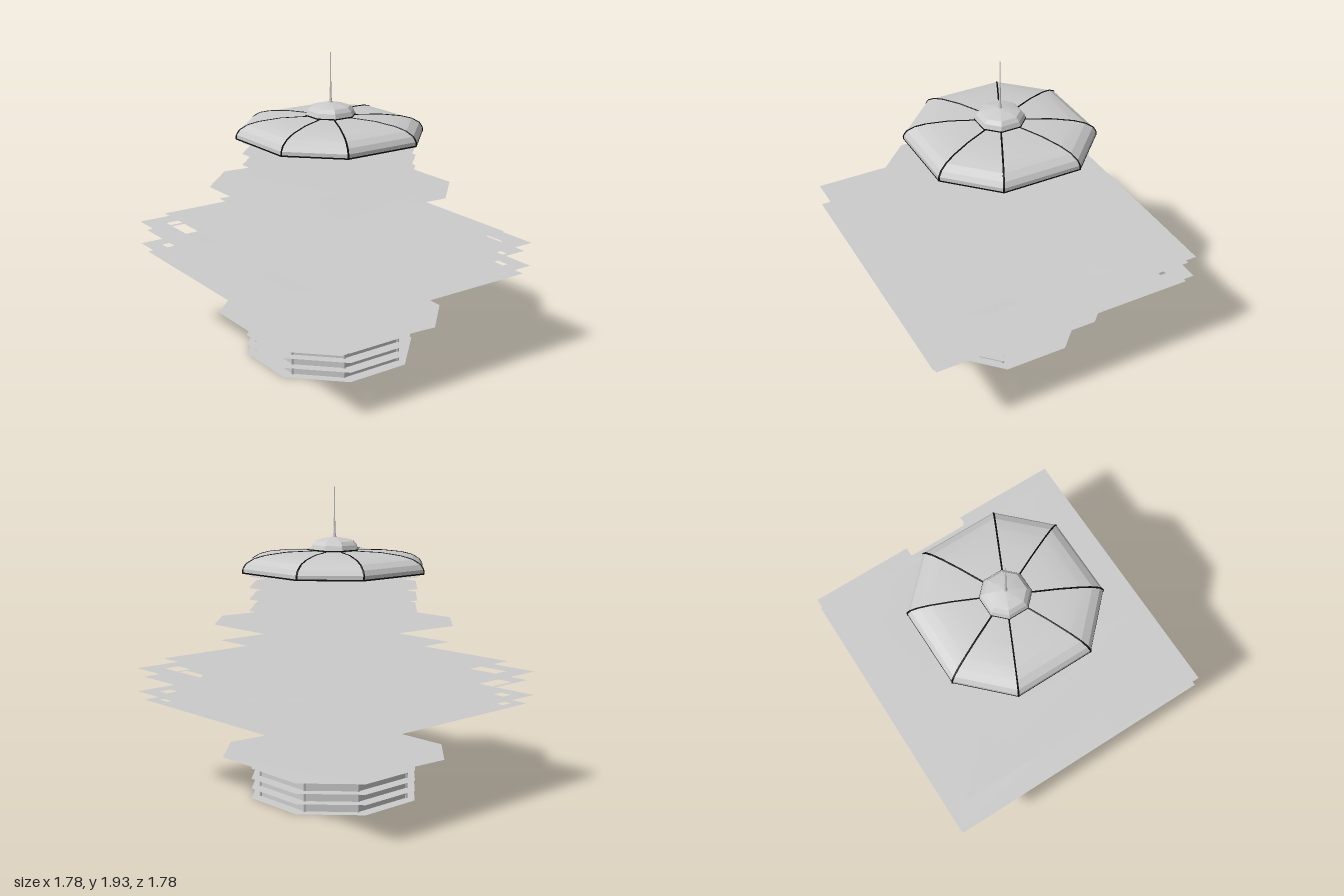
import * as THREE from 'three';
import { toCreasedNormals } from 'three/addons/utils/BufferGeometryUtils.js';

const grey = new THREE.MeshStandardMaterial({ color: 0xcccccc, side: THREE.DoubleSide });
const black = new THREE.MeshStandardMaterial({ color: 0x0c0c0c, side: THREE.DoubleSide });

// Outlines as [x, z] loops
const square = (h) => [[-h, -h], [h, -h], [h, h], [-h, h]];
const octagon = (a, b) => [[-b, -a], [b, -a], [a, -b], [a, b], [b, a], [-b, a], [-a, b], [-a, -b]];
const pinched = (a, b, p) => [[-b, -a], [b, -a], [a, -b], [p, 0], [a, b], [b, a], [-b, a], [-a, b], [-p, 0], [-a, -b]];
const toPath = (pts, C = THREE.Shape) => new C(pts.map(([x, z]) => new THREE.Vector2(x, -z)));

export function createModel() {
  const model = new THREE.Group();

  const add = (name, geometry, material = grey, parent = model) => {
    const mesh = new THREE.Mesh(geometry, material);
    mesh.name = name;
    parent.add(mesh);
    return mesh;
  };

  // Flat horizontal sheet; opening [x0, x1, z0, z1] is mirrored into all four quarters
  const sheet = (name, pts, y, opening) => {
    const shape = toPath(pts);
    if (opening) {
      const [x0, x1, z0, z1] = opening;
      for (const sx of [-1, 1]) for (const sz of [-1, 1]) {
        const hole = [[x0, z0], [x1, z0], [x1, z1], [x0, z1]].map(([x, z]) => [x * sx, z * sz]);
        shape.holes.push(toPath(hole, THREE.Path));
      }
    }
    const g = new THREE.ShapeGeometry(shape);
    g.rotateX(-Math.PI / 2);
    add(name, g).position.y = y;
  };

  const triangles = (name, v) => {
    const g = new THREE.BufferGeometry();
    g.setAttribute('position', new THREE.Float32BufferAttribute(v, 3));
    g.computeVertexNormals();
    add(name, g);
  };

  // Gently folded ceiling: creases along both axes, corners at another height
  const foldedSheet = (name, a, b, p, yAxis, yCorner) => {
    const quarter = [[p, 0], [a, b], [b, a]];
    const rim = [0, 1, 2, 3].flatMap((k) => quarter.map(([x, z]) =>
      [[x, z], [-z, x], [-x, -z], [z, -x]][k]));
    const y = (i) => (i % 3 === 0 ? yAxis : yCorner);
    const v = [];
    rim.forEach(([x, z], i) => {
      const j = (i + 1) % rim.length;
      v.push(0, yAxis, 0, rim[j][0], y(j), rim[j][1], x, y(i), z);
    });
    triangles(name, v);
  };

  // Upright wall band around an outline
  const wallBand = (name, pts, y0, y1) => {
    const v = [];
    pts.forEach(([x, z], i) => {
      const [u, w] = pts[(i + 1) % pts.length];
      v.push(x, y0, z, x, y1, z, u, y1, w, x, y0, z, u, y1, w, u, y0, w);
    });
    triangles(name, v);
  };

  // Base: stacked louvre slabs with recessed wall bands and corner posts
  const slab = octagon(0.51, 0.213);
  const wall = octagon(0.44, 0.21);
  const post = new THREE.CylinderGeometry(0.01, 0.01, 0.051, 4);
  sheet('baseFloor', slab, 0, [0.16, 0.22, 0.16, 0.22]);
  for (let i = 0; i < 4; i++) {
    const y = i * 0.065;
    wallBand('baseWall', wall, y + 0.002, y + 0.053);
    for (const [x, z] of wall) add('basePost', post).position.set(x, y + 0.0275, z);
    if (i < 3) sheet('baseSlab', slab, y + 0.063);
  }
  sheet('baseCanopy', pinched(0.62, 0.36, 0.59), 0.257);

  // Lower storey: broad square deck over a folded ceiling
  const cornerHole = [0.71, 0.79, 0.71, 0.79];
  foldedSheet('lowerFoldedCeiling', 0.645, 0.39, 0.61, 0.585, 0.573);
  sheet('lowerDeckUnderside', square(0.86), 0.58, cornerHole);
  sheet('lowerDeckTop', square(0.89), 0.635, cornerHole);

  // Upper storey: deck with stair notches and long openings front and back
  const n = 0.21, d = 0.74;
  const notched = (h) => [[-h, -h], [-n, -h], [-n, -d], [n, -d], [n, -h], [h, -h],
    [h, h], [n, h], [n, d], [-n, d], [-n, h], [-h, h]];
  foldedSheet('upperFoldedCeiling', 0.76, 0.45, 0.72, 0.711, 0.723);
  sheet('upperDeckUnderside', notched(0.86), 0.73, [0.25, 0.83, 0.55, 0.74]);
  sheet('upperDeckTop', notched(0.89), 0.785, [0.23, 0.765, 0.66, 0.765]);
  sheet('deckRoof', square(0.77), 0.85);

  // Upper tower: terrace, canopy and louvre sheets
  sheet('terrace', square(0.51), 0.97);
  sheet('towerCanopy', pinched(0.645, 0.39, 0.61), 1.1);
  for (let i = 0; i < 4; i++) sheet('towerLouvre', slab, 1.19 + i * 0.07);

  // Eight-sided turned form with slightly widened main faces
  const eightSided = (profile, ratio) => {
    const k = Math.cos(Math.PI / 8);
    const pts = profile.map(([r, y]) => new THREE.Vector2(r / k, y));
    const g = new THREE.LatheGeometry(pts, 8, Math.PI / 8);
    const p = g.attributes.position;
    const f = ratio / Math.tan(Math.PI / 8);
    for (let i = 0; i < p.count; i++) {
      if (Math.abs(p.getX(i)) < Math.abs(p.getZ(i))) p.setX(i, p.getX(i) * f);
      else p.setZ(i, p.getZ(i) * f);
    }
    return toCreasedNormals(g, 0.2);
  };

  // Dome roof
  const domeProfile = [[0.526, 1.42], [0.526, 1.445], [0.508, 1.475], [0.465, 1.503],
    [0.4, 1.522], [0.28, 1.538], [0.13, 1.541]];
  const domeRatio = 0.475;
  add('domeRoof', eightSided(domeProfile, domeRatio));
  add('domeRim', eightSided([[0.45, 1.415], [0.528, 1.415], [0.528, 1.424]], domeRatio), black);

  // Ribs along the dome corners
  const ribs = new THREE.Group();
  ribs.name = 'domeRibs';
  model.add(ribs);
  for (const sx of [-1, 1]) for (const sz of [-1, 1]) for (const swap of [false, true]) {
    const path = new THREE.CurvePath();
    const pts = domeProfile.map(([r, y]) => swap
      ? new THREE.Vector3(sx * r, y - 0.002, sz * r * domeRatio)
      : new THREE.Vector3(sx * r * domeRatio, y - 0.002, sz * r));
    for (let i = 1; i < pts.length; i++) path.add(new THREE.LineCurve3(pts[i - 1], pts[i]));
    add('domeRib', new THREE.TubeGeometry(path, 24, 0.006, 5), black, ribs);
  }

  // Cap and spire
  add('capRim', eightSided([[0.13, 1.546], [0.143, 1.546], [0.143, 1.553], [0.13, 1.553]], 0.45), black);
  add('cap', eightSided([[0.142, 1.55], [0.132, 1.58], [0.112, 1.603], [0.06, 1.618], [0, 1.628]], 0.45));
  add('spire', new THREE.LatheGeometry([[0.014, 1.62], [0.008, 1.645], [0.005, 1.7], [0.004, 1.8],
    [0.003, 1.935], [0, 1.935]].map(([r, y]) => new THREE.Vector2(r, y)), 8));

  return model;
}
